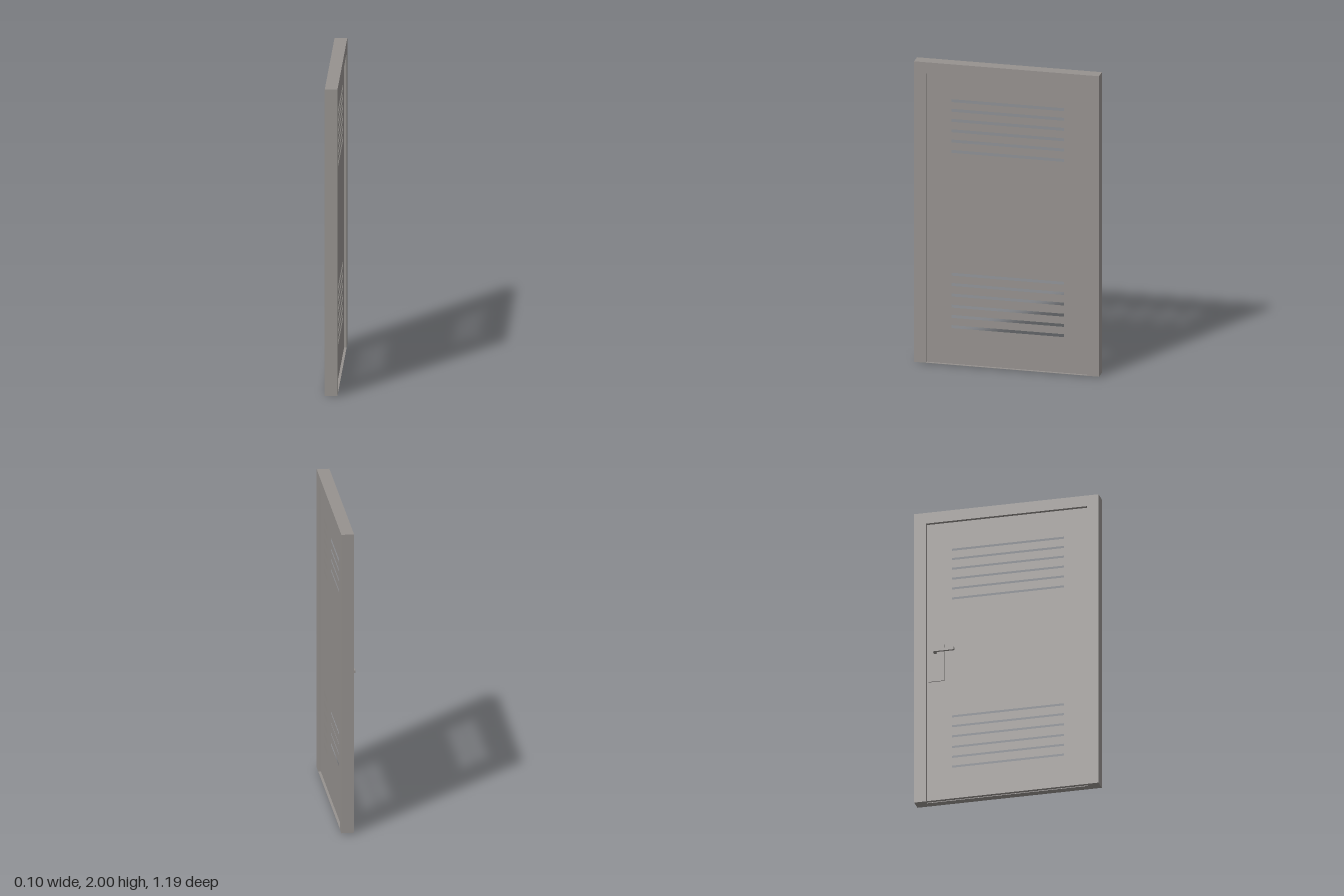
import * as THREE from 'three';

const material = new THREE.MeshStandardMaterial({ color: 0x96928f, flatShading: true, side: THREE.DoubleSide });

function addMesh(parent, name, geometry) {
  const mesh = new THREE.Mesh(geometry, material);
  mesh.name = name;
  parent.add(mesh);
}

// Box given by its extents on each axis
function addBox(parent, name, [x0, x1], [y0, y1], [z0, z1]) {
  const geometry = new THREE.BoxGeometry(x1 - x0, y1 - y0, z1 - z0);
  geometry.translate((x0 + x1) / 2, (y0 + y1) / 2, (z0 + z1) / 2);
  addMesh(parent, name, geometry);
}

const outline = (points) => points.map(([a, b]) => new THREE.Vector2(a, b));
const rectangle = (w, y0, y1) => outline([[-w, y0], [w, y0], [w, y1], [-w, y1]]);

export function createModel() {
  const door = new THREE.Group();
  door.name = 'louvredDoor';
  const front = 0.052, back = -0.028;
  const leafFront = 0.036, leafBack = -0.005;
  const innerWidth = 0.521, innerTop = 1.926;
  const gap = 0.004;

  // Frame: two jambs and a lintel in one piece
  const frameShape = new THREE.Shape(outline([
    [-0.597, gap], [-innerWidth, gap], [-innerWidth, innerTop], [innerWidth, innerTop],
    [innerWidth, gap], [0.597, gap], [0.597, 2], [-0.597, 2],
  ]));
  const frame = new THREE.ExtrudeGeometry(frameShape, { depth: front - back, bevelEnabled: false });
  addMesh(door, 'frame', frame.rotateY(Math.PI / 2).translate(back, 0, 0));

  // Thin threshold between the jambs, with the foot of the leaf just below it
  addBox(door, 'threshold', [back, front], [gap, gap + 0.002], [-innerWidth, innerWidth]);
  addBox(door, 'leafFoot', [leafBack, leafFront], [0, gap], [-innerWidth, innerWidth]);

  // Hollow leaf: two thin sheets with matching banks of ventilation slots
  const leaf = new THREE.Shape(rectangle(innerWidth, gap, innerTop));
  const slotCentres = [
    1.746, 1.682, 1.615, 1.546, 1.478, 1.409,
    0.593, 0.525, 0.455, 0.381, 0.313, 0.245,
  ];
  for (const y of slotCentres) {
    leaf.holes.push(new THREE.Path(rectangle(0.368, y - 0.017, y + 0.017)));
  }
  const sheet = new THREE.ShapeGeometry(leaf);
  addMesh(door, 'frontSheet', sheet.clone().rotateY(Math.PI / 2).translate(leafFront, 0, 0));
  addMesh(door, 'backSheet', sheet.clone().rotateY(-Math.PI / 2).translate(leafBack, 0, 0));

  // Lever handle on its backplate
  const handle = new THREE.Group();
  handle.name = 'handle';
  door.add(handle);
  addBox(handle, 'backplate', [-0.012, leafBack], [0.835, 1.085], [-0.508, -0.408]);
  addBox(handle, 'spindle', [-0.036, -0.012], [1.025, 1.042], [-0.472, -0.455]);
  addBox(handle, 'lever', [-0.052, -0.036], [1.025, 1.042], [-0.472, -0.335]);

  return door;
}
